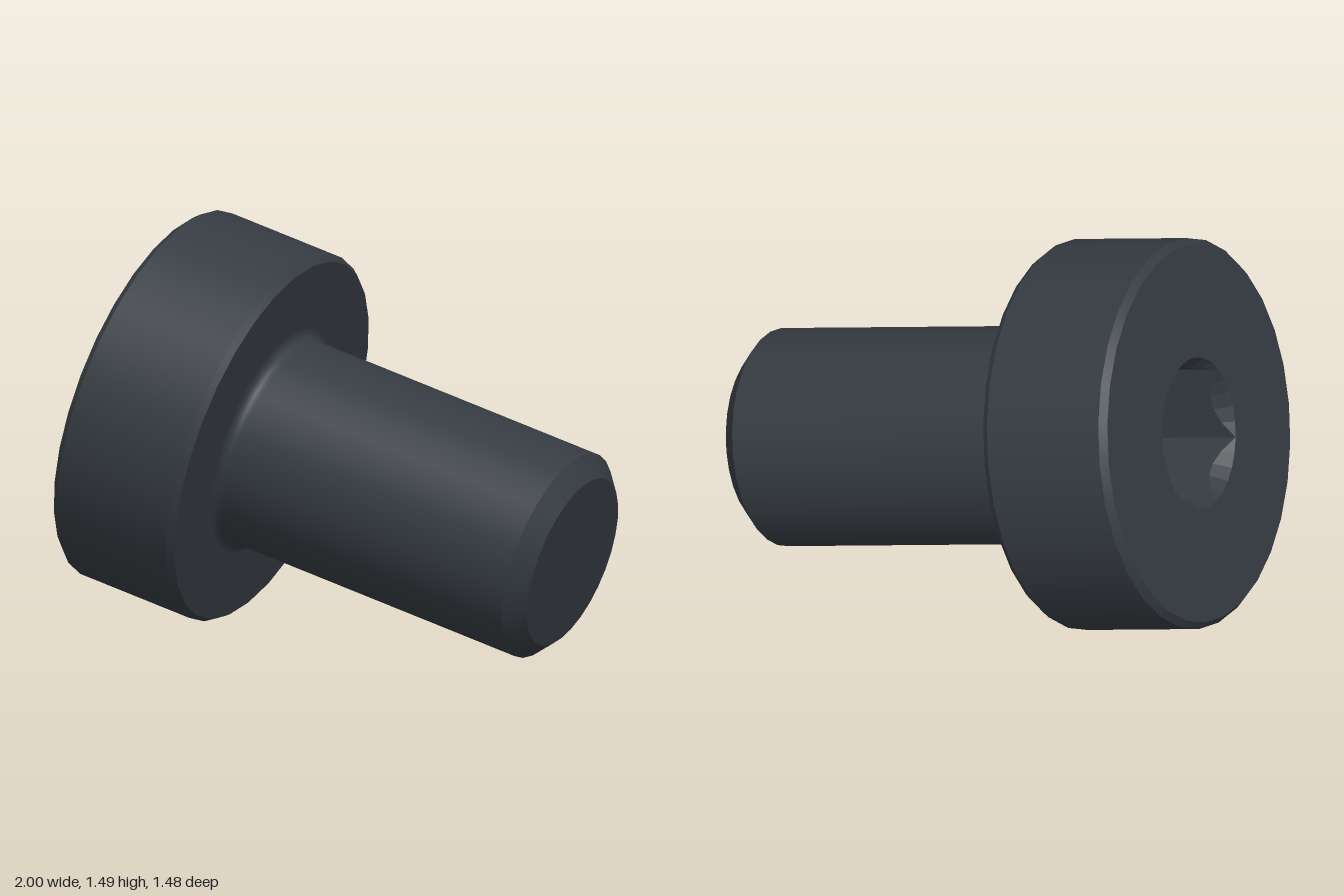
import * as THREE from 'three';

const SIDES = 30;
const HEAD_R = 0.708, FACE_R = 0.685, SOCKET_R = 0.276, SHAFT_R = 0.395;
const BACK = -0.025, UNDER = 0.485, FILLET = 0.036, SOCKET_FLOOR = 0.4;

export function createModel() {
  const steel = new THREE.MeshStandardMaterial({ color: 0x353b41 });
  steel.name = 'dark steel';
  const bolt = new THREE.Group();
  bolt.name = 'socketHeadBolt';

  const add = (name, geometry) => {
    const mesh = new THREE.Mesh(geometry, steel);
    mesh.name = name;
    bolt.add(mesh);
  };
  // Profile points are [radius, distance along the bolt]; each lathe is one smooth band
  const band = (name, points) =>
    add(name, new THREE.LatheGeometry(points.map(([r, y]) => new THREE.Vector2(r, y)), SIDES));

  // Head
  band('headFace', [[SOCKET_R, BACK], [FACE_R, BACK]]);
  band('headTopChamfer', [[FACE_R, BACK], [HEAD_R, 0]]);
  band('headSide', [[HEAD_R, 0], [HEAD_R, 0.46]]);
  band('headLowerChamfer', [[HEAD_R, 0.46], [0.69, UNDER]]);
  band('headUnderside', [[0.69, UNDER], [SHAFT_R + FILLET, UNDER]]);

  // Shaft with a rounded root
  const shaft = [];
  for (let i = 0; i <= 5; i++) {
    const a = (i / 5) * Math.PI / 2;
    shaft.push([SHAFT_R + FILLET * (1 - Math.sin(a)), UNDER + FILLET * (1 - Math.cos(a))]);
  }
  shaft.push([SHAFT_R, UNDER + FILLET + 0.01], [SHAFT_R, 1.685]);
  band('shaft', shaft);
  band('tipChamfer', [[SHAFT_R, 1.685], [0.324, 1.75]]);
  band('tipFace', [[0.324, 1.75], [0, 1.75]]);

  // Hexagonal socket: countersink, six walls and a flat floor
  const hexRadius = (a) => {
    const side = Math.PI / 3;
    const local = ((a + 1e-6) % side) - side / 2;
    return SOCKET_R * Math.cos(side / 2) / Math.cos(local);
  };
  const rings = [
    () => [SOCKET_R, BACK],
    (a) => [hexRadius(a), BACK + (SOCKET_R - hexRadius(a)) * 1.73],
    (a) => [hexRadius(a), SOCKET_FLOOR],
    () => [0, SOCKET_FLOOR],
  ];
  const socketBand = (name, outer, inner) => {
    const positions = [];
    const point = (ring, i) => {
      const a = ((i % SIDES) / SIDES) * Math.PI * 2;
      const [r, y] = ring(a);
      return [r * Math.sin(a), y, r * Math.cos(a)];
    };
    for (let i = 0; i < SIDES; i++) {
      const a = point(outer, i), b = point(outer, i + 1);
      const c = point(inner, i + 1), d = point(inner, i);
      positions.push(...a, ...c, ...b, ...a, ...d, ...c);
    }
    const geometry = new THREE.BufferGeometry();
    geometry.setAttribute('position', new THREE.Float32BufferAttribute(positions, 3));
    geometry.computeVertexNormals();
    add(name, geometry);
  };
  ['socketCountersink', 'socketWalls', 'socketFloor'].forEach((name, i) =>
    socketBand(name, rings[i], rings[i + 1]));

  // Tilt: local y runs along the bolt, local z points as far up as possible
  const axis = new THREE.Vector3(1.594, -0.422, 0.345).normalize();
  const side = new THREE.Vector3().crossVectors(axis, new THREE.Vector3(0, 1, 0)).normalize();
  const up = new THREE.Vector3().crossVectors(side, axis);
  bolt.quaternion.setFromRotationMatrix(new THREE.Matrix4().makeBasis(side, axis, up));
  bolt.position.set(-0.759, 0.805, -0.052);

  const model = new THREE.Group();
  model.name = 'bolt';
  model.add(bolt);
  return model;
}
